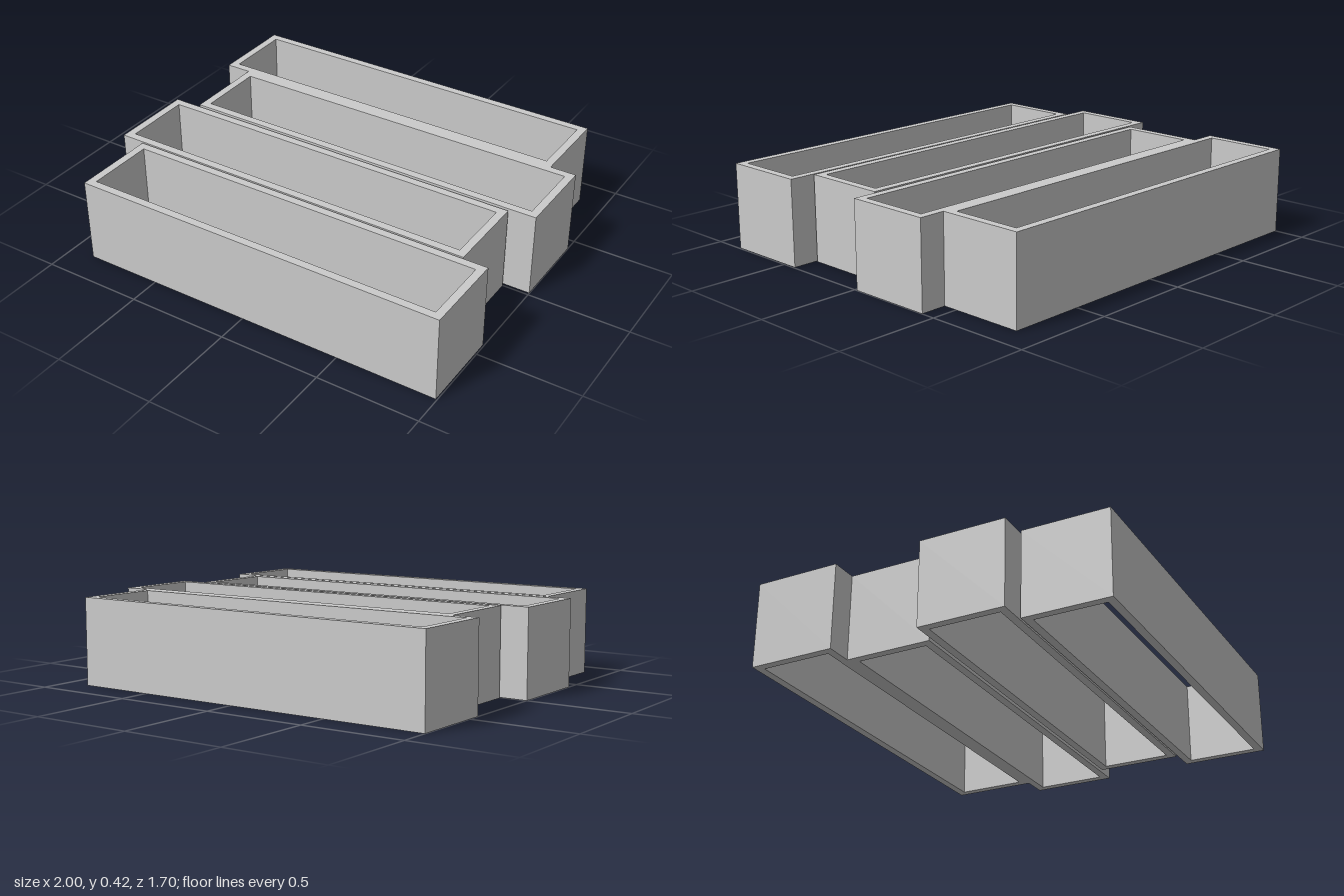
import * as THREE from 'three';

const LENGTH = 1.87, DEPTH = 0.418, HEIGHT = 0.418, WALL = 0.039;

// Rectangular outline, centred on the origin
function rectangle(PathType, w, d) {
  const p = new PathType();
  p.moveTo(-w / 2, -d / 2);
  p.lineTo(w / 2, -d / 2);
  p.lineTo(w / 2, d / 2);
  p.lineTo(-w / 2, d / 2);
  p.closePath();
  return p;
}

export function createModel() {
  const group = new THREE.Group();
  group.name = 'staggeredFrames';
  const material = new THREE.MeshStandardMaterial({ color: 0xcccccc, flatShading: true });

  // Four-walled frame, open at top and bottom
  const outline = rectangle(THREE.Shape, LENGTH, DEPTH);
  outline.holes.push(rectangle(THREE.Path, LENGTH - 2 * WALL, DEPTH - 2 * WALL));
  const frame = new THREE.ExtrudeGeometry(outline, { depth: HEIGHT, bevelEnabled: false });
  frame.rotateX(-Math.PI / 2);

  // Frames from back to front, alternately shifted sideways
  const places = [
    ['backFrame', -0.065, -0.641],
    ['backMiddleFrame', 0.064, -0.223],
    ['frontMiddleFrame', -0.065, 0.211],
    ['frontFrame', 0.059, 0.638],
  ];
  for (const [name, x, z] of places) {
    const mesh = new THREE.Mesh(frame, material);
    mesh.name = name;
    mesh.position.set(x, 0, z);
    group.add(mesh);
  }
  return group;
}
